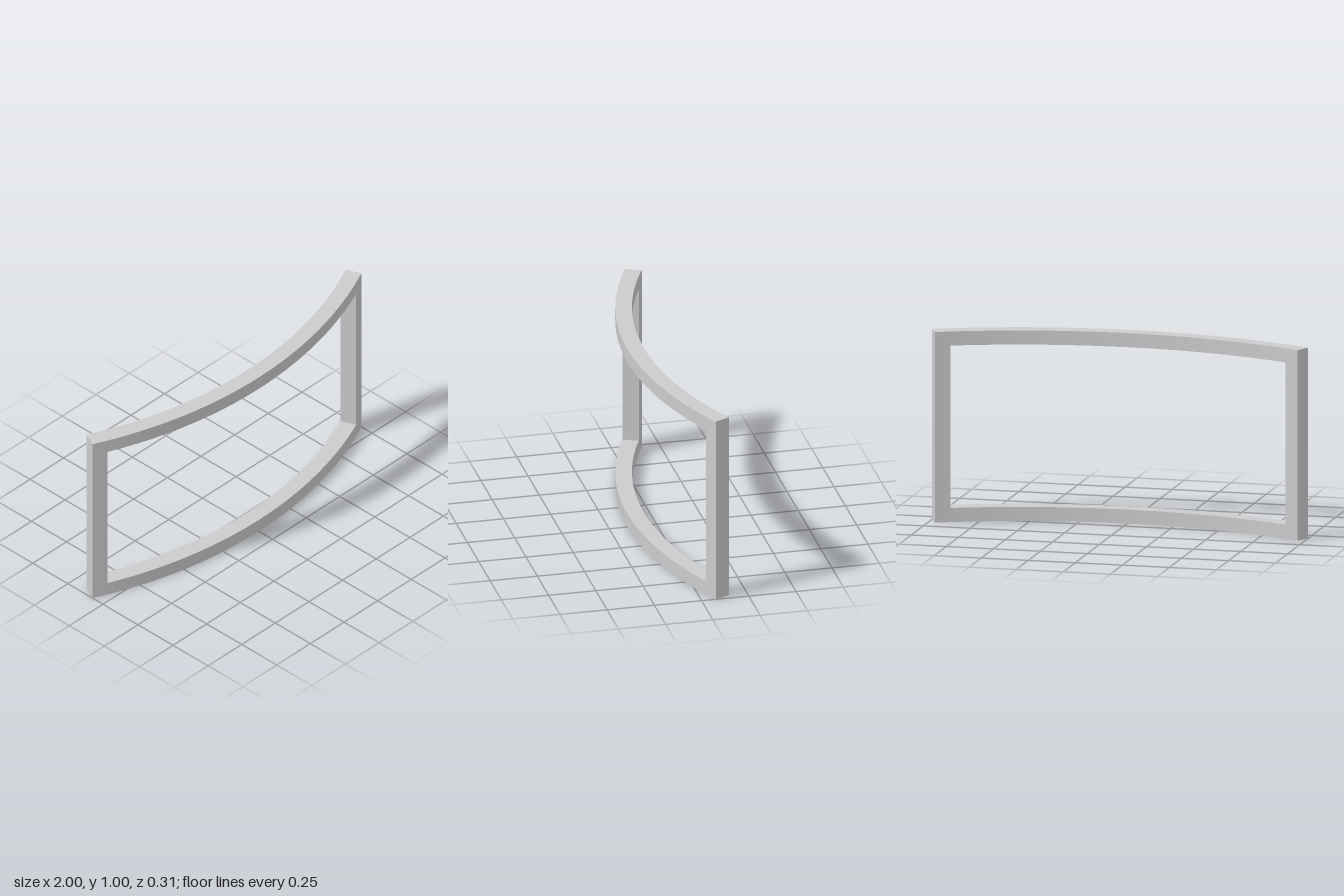
import * as THREE from 'three';
import { toCreasedNormals } from 'three/addons/utils/BufferGeometryUtils.js';

const OUTER = 2.307, INNER = 2.221;   // radii of the front and back faces
const CENTRE_Z = -2.154;              // axis of the curve
const END = Math.asin(1 / OUTER);     // half angle of the whole frame
const OPEN = Math.asin(0.925 / OUTER); // half angle of the opening
const HEIGHT = 1, BAR = 0.074;

// Ring sector between two angles (0 = straight ahead), raised from y0 to y1
function sector(name, a0, a1, y0, y1, segments, material) {
  const q = -Math.PI / 2;
  const shape = new THREE.Shape();
  shape.absarc(0, -CENTRE_Z, OUTER, q + a0, q + a1, false);
  shape.absarc(0, -CENTRE_Z, INNER, q + a1, q + a0, true);
  shape.closePath();
  const geometry = new THREE.ExtrudeGeometry(shape, {
    depth: y1 - y0, bevelEnabled: false, curveSegments: segments,
  });
  geometry.rotateX(-Math.PI / 2).translate(0, y0, 0);
  const mesh = new THREE.Mesh(toCreasedNormals(geometry, 0.5), material);
  mesh.name = name;
  return mesh;
}

export function createModel() {
  const grey = new THREE.MeshStandardMaterial({ color: 0xcccccc });
  grey.name = 'light grey';

  const group = new THREE.Group();
  group.name = 'curvedFrame';

  // Curved rails along the bottom and top
  group.add(sector('bottomRail', -END, END, 0, BAR, 64, grey));
  group.add(sector('topRail', -END, END, HEIGHT - BAR, HEIGHT, 64, grey));

  // Upright posts at both ends
  group.add(sector('leftPost', OPEN, END, BAR, HEIGHT - BAR, 4, grey));
  group.add(sector('rightPost', -END, -OPEN, BAR, HEIGHT - BAR, 4, grey));

  return group;
}
